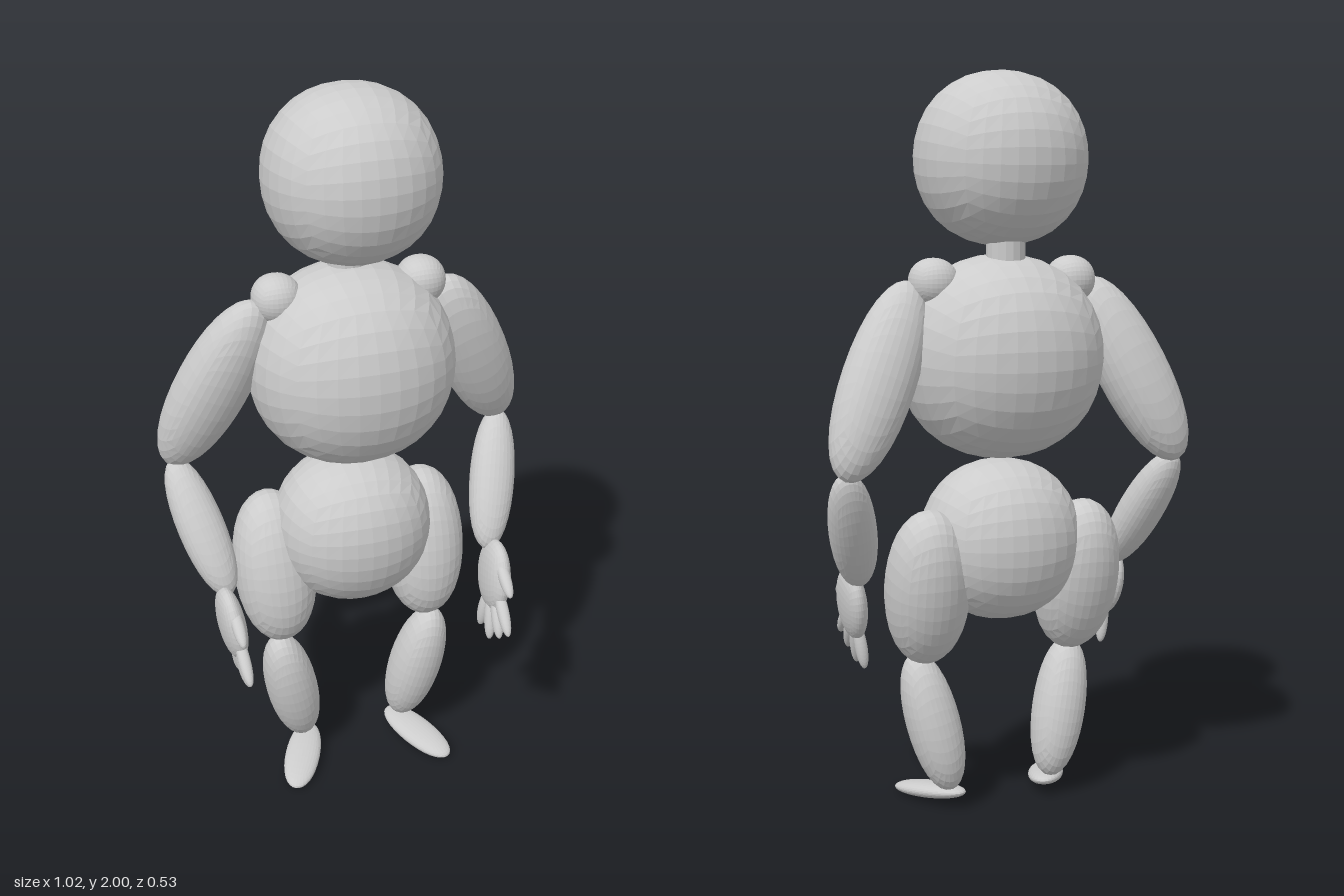
import * as THREE from 'three';
import { mergeVertices } from 'three/addons/utils/BufferGeometryUtils.js';

const material = new THREE.MeshStandardMaterial({ color: 0xcccccc, flatShading: true });

// Unit ball made from a subdivided cube, very slightly fuller towards the corners.
function makeBall() {
  let geo = new THREE.BoxGeometry(2, 2, 2, 8, 8, 8);
  geo.deleteAttribute('uv');
  geo.deleteAttribute('normal');
  geo = mergeVertices(geo);
  const pos = geo.attributes.position;
  const p = new THREE.Vector3();
  for (let i = 0; i < pos.count; i++) {
    p.fromBufferAttribute(pos, i);
    // even out the angular spacing before projecting onto the sphere
    p.set(...p.toArray().map((c) => Math.tan((c * Math.PI) / 4))).normalize();
    const q = p.x ** 4 + p.y ** 4 + p.z ** 4;
    p.multiplyScalar(1 + 0.045 * (1 - q));
    pos.setXYZ(i, p.x, p.y, p.z);
  }
  geo.computeVertexNormals();
  return geo;
}

export function createModel() {
  const model = new THREE.Group();
  model.name = 'figure';
  const ball = makeBall();

  const ellipsoid = (parent, name, center, radii) => {
    const mesh = new THREE.Mesh(ball, material);
    mesh.name = name;
    mesh.position.set(...center);
    mesh.scale.set(...radii);
    parent.add(mesh);
    return mesh;
  };

  // Ellipsoid stretched from one tip to the other: rx sideways, rz across.
  const limb = (parent, name, side, a, b, rx, rz) => {
    const from = new THREE.Vector3(a[0] * side, a[1], a[2]);
    const to = new THREE.Vector3(b[0] * side, b[1], b[2]);
    const mid = from.clone().add(to).multiplyScalar(0.5);
    const y = to.clone().sub(from);
    const half = y.length() / 2;
    y.normalize();
    const z = new THREE.Vector3(1, 0, 0).cross(y).normalize();
    const x = y.clone().cross(z);
    const mesh = ellipsoid(parent, name, mid.toArray(), [rx, half, rz]);
    mesh.quaternion.setFromRotationMatrix(new THREE.Matrix4().makeBasis(x, y, z));
    return mesh;
  };

  // Head, neck and trunk
  ellipsoid(model, 'head', [0, 1.77, -0.015], [0.229, 0.229, 0.231]).rotation.x = -0.08;
  const neck = new THREE.Mesh(new THREE.CylinderGeometry(0.052, 0.052, 0.2, 16), material);
  neck.name = 'neck';
  neck.position.set(0, 1.52, -0.05);
  model.add(neck);
  ellipsoid(model, 'chest', [0, 1.247, -0.015], [0.279, 0.274, 0.248]).rotation.x = -0.08;
  ellipsoid(model, 'pelvis', [0, 0.75, -0.012], [0.22, 0.22, 0.197]);

  // Finger tips and roots on the left side, thumb first
  const fingers = [
    [[0.385, 0.645, 0.135], [0.382, 0.575, 0.245]],
    [[0.378, 0.56, 0.155], [0.372, 0.46, 0.265]],
    [[0.376, 0.54, 0.145], [0.364, 0.425, 0.22]],
    [[0.374, 0.53, 0.125], [0.355, 0.393, 0.17]],
    [[0.374, 0.52, 0.105], [0.357, 0.393, 0.093]],
  ];

  for (const side of [1, -1]) {
    const prefix = side > 0 ? 'left' : 'right';

    // Arm
    const arm = new THREE.Group();
    arm.name = prefix + 'Arm';
    model.add(arm);
    ellipsoid(arm, 'shoulder', [0.197 * side, 1.45, -0.03], [0.066, 0.064, 0.068]);
    limb(arm, 'upperArm', side, [0.25, 1.452, -0.012], [0.478, 0.956, -0.135], 0.098, 0.087);
    limb(arm, 'forearm', side, [0.472, 0.972, -0.125], [0.376, 0.635, 0.075], 0.064, 0.056);

    // Hand
    const hand = new THREE.Group();
    hand.name = prefix + 'Hand';
    arm.add(hand);
    limb(hand, 'palm', side, [0.395, 0.672, 0.09], [0.372, 0.477, 0.145], 0.035, 0.086);
    fingers.forEach(([root, tip], i) => {
      limb(hand, i ? 'finger' + i : 'thumb', side, root, tip, 0.017, 0.018);
    });

    // Leg
    const leg = new THREE.Group();
    leg.name = prefix + 'Leg';
    model.add(leg);
    limb(leg, 'thigh', side, [0.225, 0.85, -0.085], [0.213, 0.42, 0.02], 0.115, 0.117);
    limb(leg, 'shin', side, [0.232, 0.437, 0.04], [0.147, 0.055, -0.015], 0.073, 0.077);
    limb(leg, 'foot', side, [0.122, 0.049, -0.042], [0.232, 0.013, 0.188], 0.05, 0.022);
  }
  return model;
}
